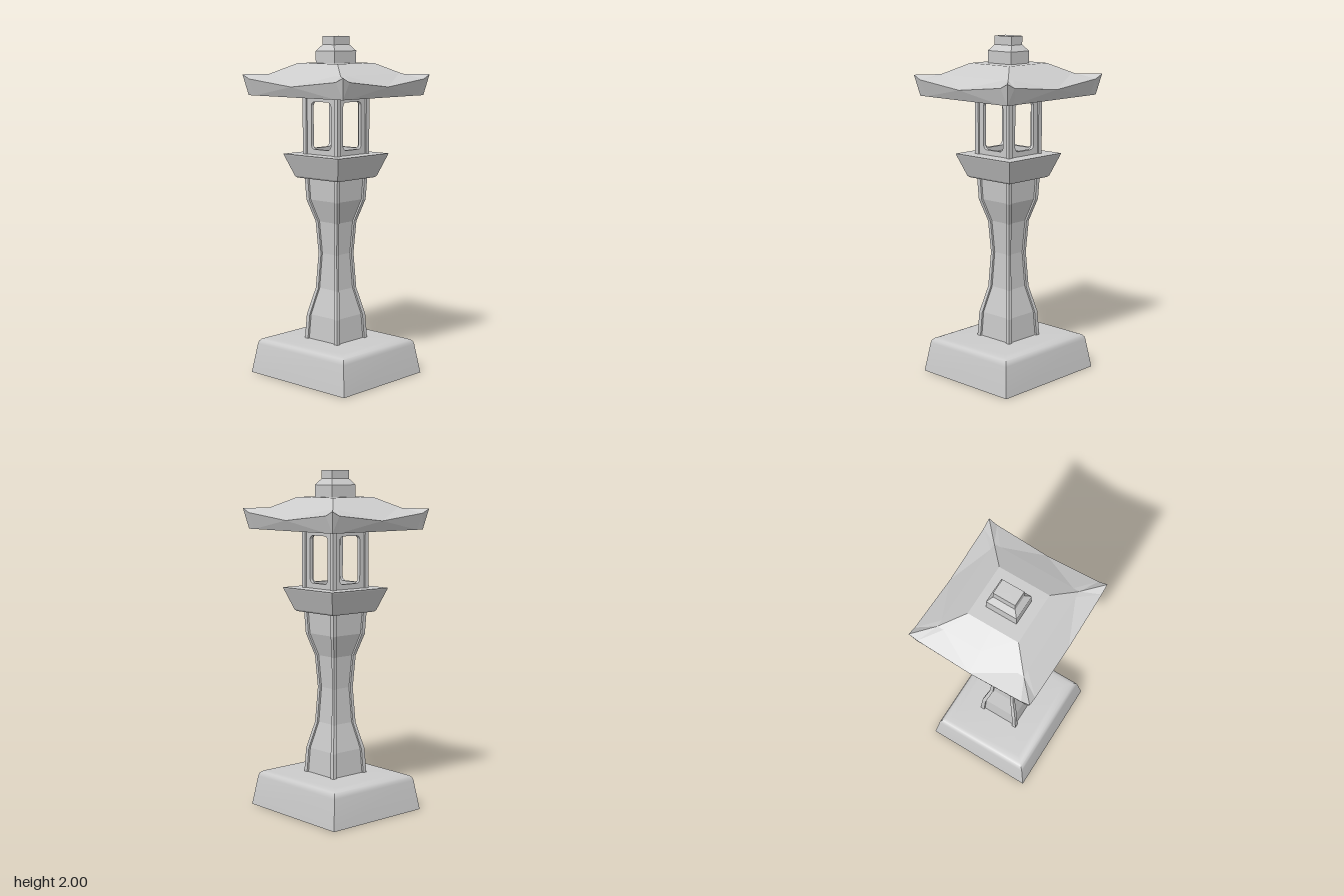
import * as THREE from 'three';
import { toCreasedNormals } from 'three/addons/utils/BufferGeometryUtils.js';

const flat = new THREE.MeshStandardMaterial({ color: 0xcccccc, flatShading: true });
const smooth = new THREE.MeshStandardMaterial({ color: 0xcccccc });

// Repeat one side's points (u along the side, v outward) around all four sides.
function fourSided(side, hx = 1, hz = 1) {
  const turns = [
    (u, v) => [u, v], (u, v) => [v, -u], (u, v) => [-u, -v], (u, v) => [-v, u],
  ];
  return turns.flatMap((turn) => side.map(([u, v, y]) => {
    const [x, z] = turn(u, v);
    return [x * hx, y, z * hz];
  }));
}

const rect = (hx, hz, y) => fourSided([[-1, 1, y]], hx, hz);

// Skin a stack of closed rings, from bottom to top, with fan caps.
function loft(rings) {
  const pos = [];
  const tri = (...corners) => corners.forEach((p) => pos.push(...p));
  const n = rings[0].length;
  for (let k = 0; k < rings.length - 1; k++) {
    for (let i = 0; i < n; i++) {
      const j = (i + 1) % n;
      const a = rings[k][i], b = rings[k][j], c = rings[k + 1][j], d = rings[k + 1][i];
      // fold each quad along its lower diagonal
      if (a[1] + c[1] <= b[1] + d[1]) { tri(a, b, c); tri(a, c, d); }
      else { tri(a, b, d); tri(b, c, d); }
    }
  }
  const low = rings[0], high = rings[rings.length - 1];
  for (let i = 0; i < n; i++) {
    const j = (i + 1) % n;
    tri([0, low[0][1], 0], low[j], low[i]);
    tri([0, high[0][1], 0], high[i], high[j]);
  }
  const geo = new THREE.BufferGeometry();
  geo.setAttribute('position', new THREE.Float32BufferAttribute(pos, 3));
  geo.computeVertexNormals();
  return geo;
}

export function createModel() {
  const model = new THREE.Group();
  model.name = 'stoneLantern';
  const add = (name, geo, material = flat, parent = model) => {
    const mesh = new THREE.Mesh(geo, material);
    mesh.name = name;
    parent.add(mesh);
    return mesh;
  };

  // Tapered plinth with a softly rounded top edge
  const plinth = [
    [0.375, 0.34, 0], [0.348, 0.313, 0.175], [0.343, 0.308, 0.192],
    [0.332, 0.297, 0.204], [0.315, 0.28, 0.211], [0.28, 0.245, 0.215],
  ].map((r) => rect(...r));
  add('base', toCreasedNormals(loft(plinth), 0.7), smooth);

  // Waisted pillar: corner ribs with recessed panels between them
  const ribbed = (h, y) => {
    const inner = h - (0.013 + 0.09 * h), panel = h - 0.012;
    return fourSided([[-h, h, y], [-inner, h, y], [-inner, panel, y], [inner, panel, y], [inner, h, y]]);
  };
  const pillar = [
    [0.132, 0.2], [0.123, 0.36], [0.085, 0.52], [0.073, 0.73],
    [0.085, 0.92], [0.123, 1.05], [0.13, 1.19],
  ].map((r) => ribbed(...r));
  add('pillar', loft(pillar));

  // Flared platform under the lantern room
  add('platform', loft([
    rect(0.16, 0.16, 1.18), rect(0.17, 0.17, 1.19),
    rect(0.215, 0.215, 1.312), rect(0.217, 0.217, 1.32),
  ]));

  // Lantern room: four posts and four walls with rounded windows
  const room = new THREE.Group();
  room.name = 'lanternRoom';
  model.add(room);
  for (const x of [-1, 1]) for (const z of [-1, 1]) {
    add('post', new THREE.BoxGeometry(0.027, 0.35, 0.027), flat, room)
      .position.set(x * 0.1235, 1.49, z * 0.1235);
  }
  const wall = new THREE.Shape([[-0.112, 1.315], [0.112, 1.315], [0.112, 1.665], [-0.112, 1.665]]
    .map((p) => new THREE.Vector2(...p)));
  const w = 0.077, y0 = 1.35, y1 = 1.625, r = 0.025;
  const hole = new THREE.Path();
  hole.absarc(w - r, y1 - r, r, 0, Math.PI / 2);
  hole.absarc(-w + r, y1 - r, r, Math.PI / 2, Math.PI);
  hole.absarc(-w + r, y0 + r, r, Math.PI, Math.PI * 1.5);
  hole.absarc(w - r, y0 + r, r, Math.PI * 1.5, Math.PI * 2);
  hole.closePath();
  wall.holes.push(hole);
  const wallGeo = new THREE.ExtrudeGeometry(wall, { depth: 0.02, bevelEnabled: false, curveSegments: 4 });
  wallGeo.translate(0, 0, 0.107);
  for (let i = 0; i < 4; i++) {
    add('windowWall', wallGeo, flat, room).rotation.y = i * Math.PI / 2;
  }

  // Roof with upturned corners and sagging eaves
  const roofRing = (hx, hz, corner, near = corner, mid = corner) =>
    fourSided([[-1, 1, corner], [-0.86, 1, near], [0, 1, mid], [0.86, 1, near]], hx, hz);
  add('roof', loft([
    roofRing(0.37, 0.345, 1.66),
    roofRing(0.395, 0.37, 1.78, 1.755, 1.72),
    roofRing(0.28, 0.265, 1.783),
    roofRing(0.155, 0.155, 1.845),
  ]));

  // Stepped finial
  add('finial', loft([
    rect(0.074, 0.092, 1.84), rect(0.074, 0.092, 1.915),
    rect(0.045, 0.066, 1.95), rect(0.045, 0.066, 2),
  ]));

  return model;
}
